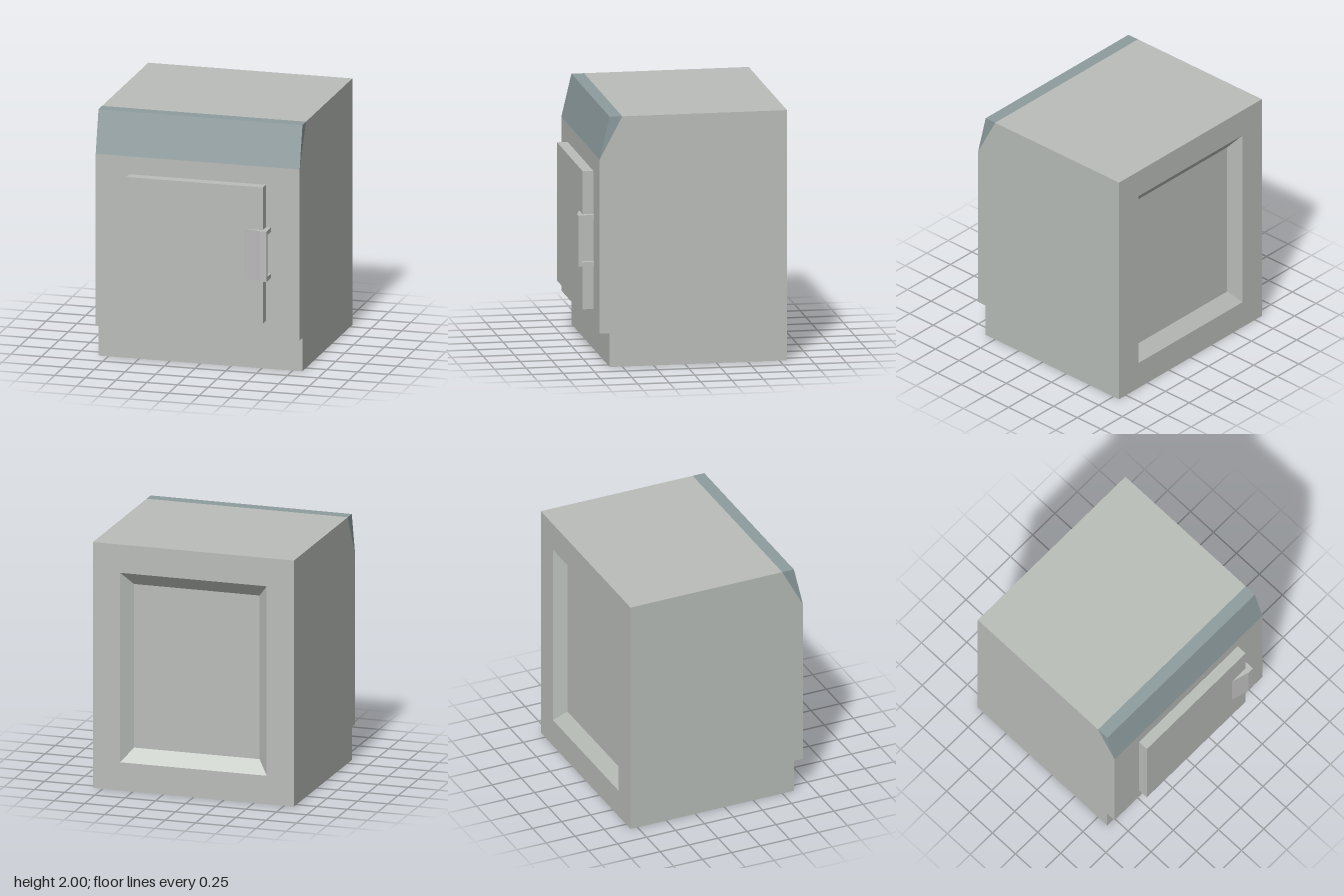
import * as THREE from 'three';

const paint = (name, color) => {
  const m = new THREE.MeshStandardMaterial({ color });
  m.name = name;
  return m;
};

export function createModel() {
  const casing = paint('casing grey', 0xb9bdb8);
  const panel = paint('panel blue grey', 0x8d9c9e);
  const grip = paint('grip grey', 0xbcbcbc);
  const group = new THREE.Group();
  const W = 0.83;

  const add = (name, geometry, material) => {
    const mesh = new THREE.Mesh(geometry, material);
    mesh.name = name;
    group.add(mesh);
    return mesh;
  };
  const addBox = (name, material, x0, x1, y0, y1, z0, z1) =>
    add(name, new THREE.BoxGeometry(x1 - x0, y1 - y0, z1 - z0), material)
      .position.set((x0 + x1) / 2, (y0 + y1) / 2, (z0 + z1) / 2);
  const extrude = (points, depth) => new THREE.ExtrudeGeometry(
    new THREE.Shape(points.map(([a, b]) => new THREE.Vector2(a, b))),
    { depth, bevelEnabled: false });
  // Side profile given as [z, y], swept across the full width
  const sweepAcross = (profile) => extrude(profile.map(([z, y]) => [-z, y]), 2 * W)
    .rotateY(Math.PI / 2).translate(-W, 0, 0);

  // Casing with toe kick, and sloped control panel along its top front edge
  const backPlane = -0.727;
  add('casing', sweepAcross([
    [backPlane, 0], [0.6, 0], [0.6, 0.27], [0.68, 0.27], [0.68, 1.66], [0.5, 2], [backPlane, 2],
  ]), casing);
  add('controlPanel', sweepAcross([[0.68, 1.66], [0.6, 2], [0.5, 2]]), panel);

  // Back frame: rectangular loops running round the rim and into the bevelled recess
  const loops = [
    [W, 0, 2, backPlane], [W, 0, 2, -0.81],
    [0.605, 0.23, 1.77, -0.81], [0.518, 0.335, 1.665, backPlane],
  ].map(([w, y0, y1, z]) => [[-w, y0, z], [w, y0, z], [w, y1, z], [-w, y1, z]]);
  const positions = [];
  for (let k = 0; k < 3; k++) {
    for (let j = 0; j < 4; j++) {
      const n = (j + 1) % 4;
      const [a, b, c, d] = [loops[k][j], loops[k][n], loops[k + 1][n], loops[k + 1][j]];
      positions.push(...a, ...d, ...c, ...a, ...c, ...b);
    }
  }
  const frame = new THREE.BufferGeometry();
  frame.setAttribute('position', new THREE.Float32BufferAttribute(positions, 3));
  frame.computeVertexNormals();
  add('backFrame', frame, casing);

  // Door
  addBox('door', casing, -0.555, 0.555, 0.41, 1.515, 0.68, 0.765);

  // Handle: sloped plate carried by two brackets past the door edge
  const plate = [[0.4, 0.765], [0.545, 0.806], [0.595, 0.806], [0.595, 0.773], [0.55, 0.765]];
  add('handlePlate', extrude(plate.map(([x, z]) => [x, -z]), 0.41)
    .rotateX(-Math.PI / 2).translate(0, 0.76, 0), [casing, grip]);
  for (const y of [0.76, 1.135]) {
    addBox('handleBracket', casing, 0.555, 0.595, y, y + 0.035, 0.68, 0.775);
  }

  return group;
}
